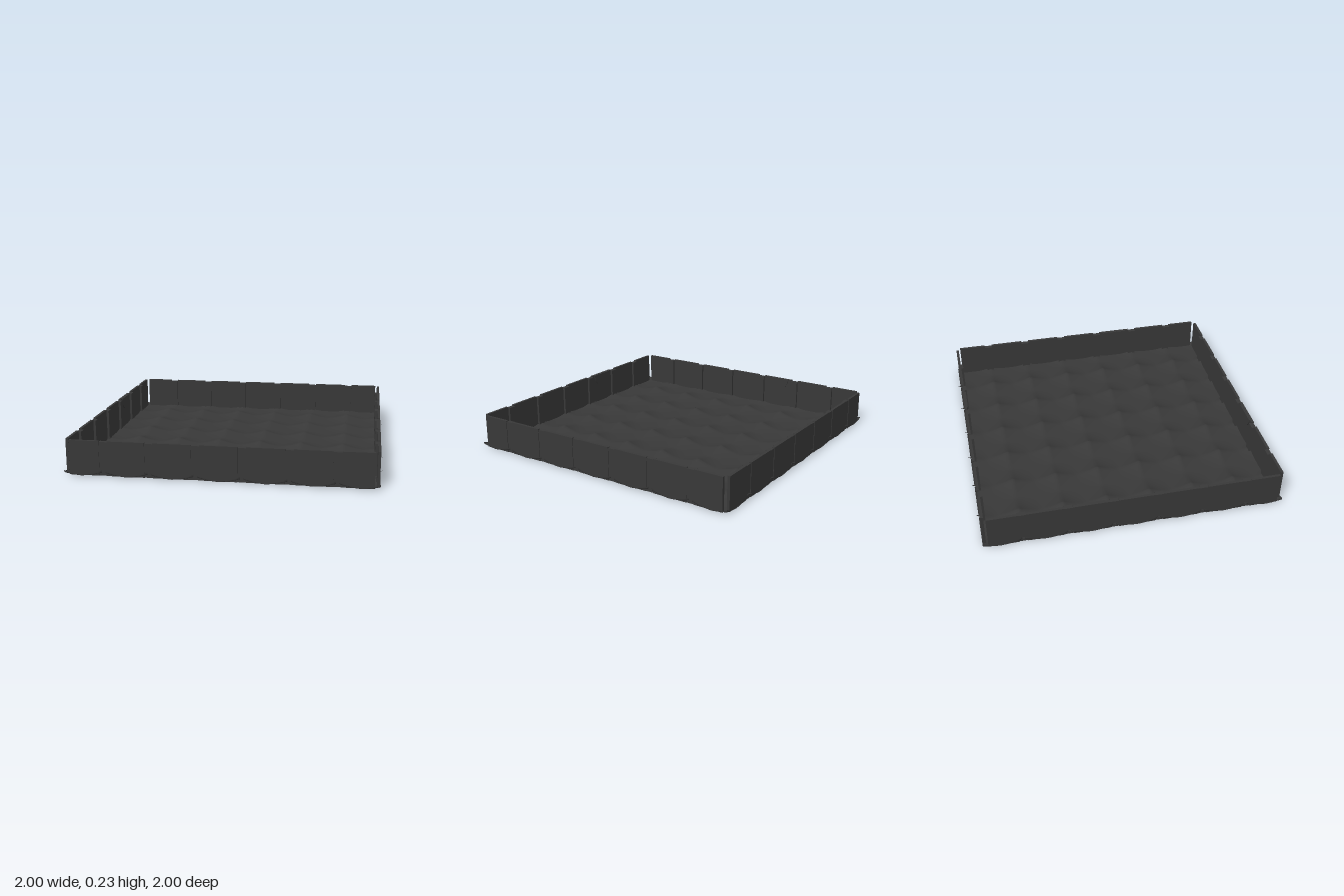
import * as THREE from 'three';

const PITCH = 0.29, EDGE = 0.98, BASE = 0.005, PEAK = 0.045;
const posts = [-2.5, -1.5, -0.5, 0.5, 1.5, 2.5].map(i => i * PITCH);

// distance to the nearest peak line, as a fraction of the pitch
const offset = v => Math.abs(v / PITCH - 0.5 - Math.round(v / PITCH - 0.5));

function box(name, w, h, d, x, y, z, mat) {
  const m = new THREE.Mesh(new THREE.BoxGeometry(w, h, d), mat);
  m.name = name;
  m.position.set(x, y, z);
  return m;
}

// Dished floor: 7 x 7 shallow bowls that rise to a sharp point at every corner
function floor(mat) {
  const span = PITCH * 7, n = 16 * 7;
  const g = new THREE.PlaneGeometry(span, span, n, n).rotateX(-Math.PI / 2);
  const p = g.attributes.position;
  for (let i = 0; i < p.count; i++) {
    const x = p.getX(i), z = p.getZ(i);
    const d = Math.min(1, offset(x) + offset(z));
    const y = BASE + PEAK * Math.pow(1 - d, 3);
    // the rim is trimmed square, with a small nick at each peak line
    const trim = (v, other) => {
      const limit = EDGE - (offset(other) * PITCH < 0.01 && Math.abs(other) < 0.9 ? 0.022 : 0);
      return THREE.MathUtils.clamp(v, -limit, limit);
    };
    p.setXYZ(i, trim(x, z), y, trim(z, x));
  }
  g.computeVertexNormals();
  const m = new THREE.Mesh(g, mat);
  m.name = 'dishedFloor';
  return m;
}

// Upturned point on the rim
function rimPoint(x, mat) {
  const g = new THREE.BufferGeometry();
  g.setAttribute('position', new THREE.Float32BufferAttribute(
    [x - 0.012, 0.035, 0.955, x + 0.012, 0.035, 0.955, x, 0.05, 1], 3));
  g.computeVertexNormals();
  const m = new THREE.Mesh(g, mat);
  m.name = 'rimPoint';
  return m;
}

// One side wall facing +z: flat panels joined by set-back ribs
function wall(mat) {
  const side = new THREE.Group();
  side.name = 'sideWall';
  const half = 0.027, end = 0.945, bottom = 0.01, top = 0.233;
  const stops = [-end, ...posts.flatMap(x => [x - half, x + half]), end];
  for (let i = 0; i < stops.length - 1; i++) {
    const w = stops[i + 1] - stops[i], x = (stops[i] + stops[i + 1]) / 2;
    const rib = i % 2 === 1, h = (rib ? 0.227 : top) - bottom;
    side.add(box(rib ? 'wallRib' : 'wallPanel', w, h, rib ? 0.03 : 0.018,
      x, bottom + h / 2, rib ? 0.956 : 0.966, mat));
  }
  // half-round finger plate on the inner face
  const shape = new THREE.Shape().absarc(0, 0, 0.09, Math.PI, Math.PI * 2, false);
  const plate = new THREE.Mesh(
    new THREE.ExtrudeGeometry(shape, { depth: 0.008, bevelEnabled: false, curveSegments: 20 }), mat);
  plate.name = 'fingerPlate';
  plate.position.set(-0.29, top - 0.001, 0.95);
  side.add(plate);
  posts.forEach(x => side.add(rimPoint(x, mat)));
  return side;
}

export function createModel() {
  const model = new THREE.Group();
  model.name = 'tray';
  const charcoal = new THREE.MeshStandardMaterial({ color: 0x383838, side: THREE.DoubleSide });
  charcoal.name = 'charcoal';

  model.add(floor(charcoal));
  for (let i = 0; i < 4; i++) {
    const side = wall(charcoal);
    side.rotation.y = i * Math.PI / 2;
    model.add(side);
  }

  // Narrow crossed fins at each floor peak
  const fin = new THREE.ConeGeometry(0.03, 0.03, 4);
  for (const x of posts) for (const z of posts) for (const turn of [0.5, 0.5 + Math.PI / 2]) {
    const m = new THREE.Mesh(fin, charcoal);
    m.name = 'peakFin';
    m.scale.z = 0.15;
    m.rotation.y = turn;
    m.position.set(x, 0.036, z);
    model.add(m);
  }
  return model;
}
